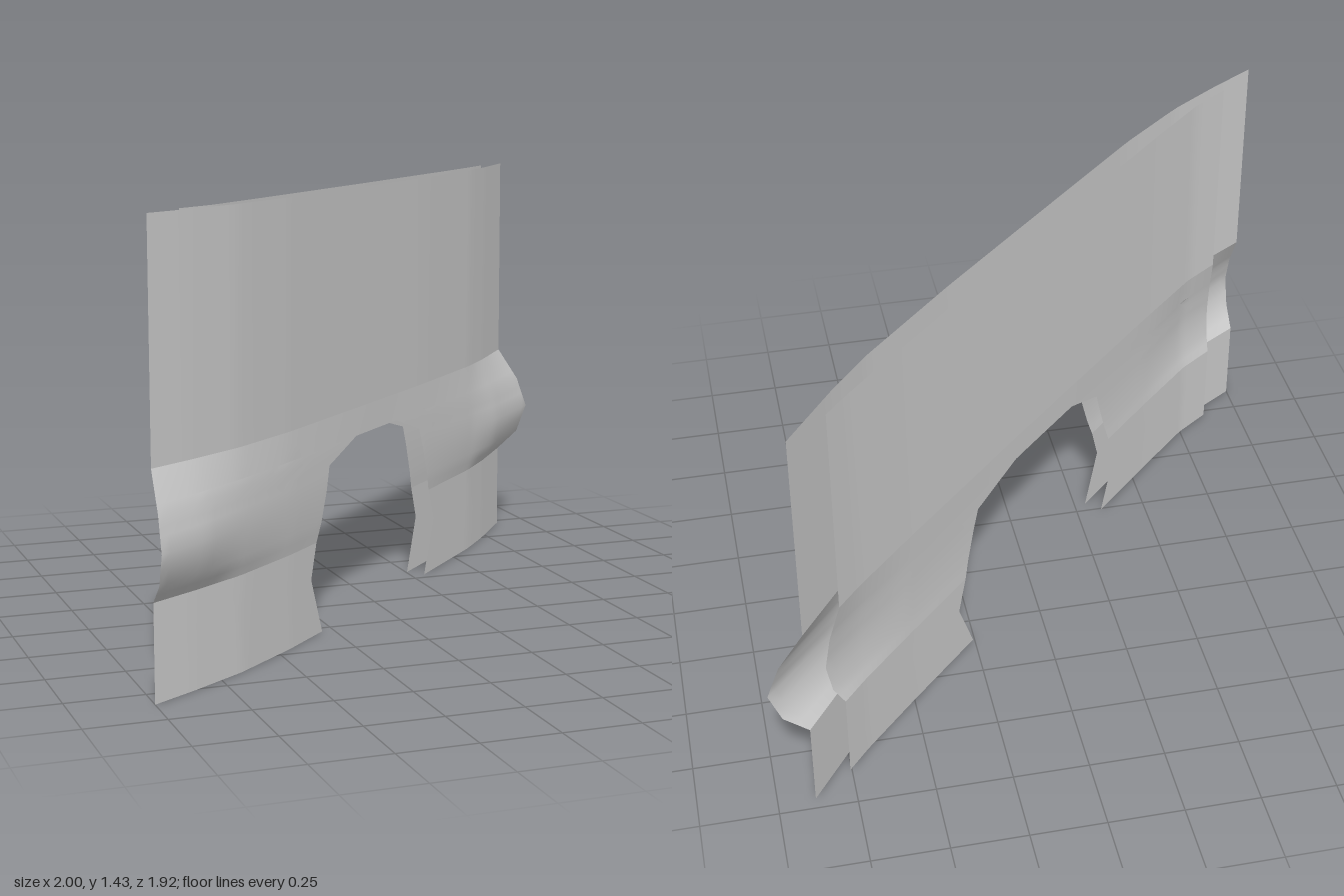
import * as THREE from 'three';

const HEIGHT = 1.43;

// Linear interpolation in a short table of rows [key, value, value...]
function sample(table, key, col) {
  let i = 1;
  while (i < table.length - 1 && key > table[i][0]) i++;
  const a = table[i - 1], b = table[i];
  const t = THREE.MathUtils.clamp((key - a[0]) / (b[0] - a[0]), 0, 1);
  return a[col] + (b[col] - a[col]) * t;
}

// Moulding section: height, share of the full bulge
const moulding = [[0.305, 0], [0.37, 0.67], [0.47, 1], [0.58, 0.67], [0.7, 0]];

// Plan of each skin: x, z, and the bulge of the moulding in x and z
const outerPlan = [
  [-1, 0.855, 0, 0.105], [-0.85, 0.76, 0.03, 0.06], [-0.67, 0.635, 0.02, 0.022],
  [-0.45, 0.445, 0.01, 0.01], [0, 0.005, 0.004, 0.004], [0.3, -0.29, 0.006, 0.006],
  [0.6, -0.6, 0.015, 0.012], [0.72, -0.745, 0.05, 0.025], [0.88, -0.96, 0.12, 0],
];
const innerPlan = [
  [-0.87, 0.725, 0, 0.04], [-0.75, 0.64, 0.015, 0.02], [-0.54, 0.44, 0.006, 0.006],
  [0, -0.09, 0.003, 0.003], [0.5, -0.59, 0.005, 0.005], [0.68, -0.775, 0.02, 0.012],
  [0.755, -0.86, 0.055, -0.01],
];

// Opening: height, left edge x, right edge x (closed above the last height)
const outerArch = [[0, -0.29, 0.3], [0.19, -0.345, 0.36], [0.545, -0.26, 0.255], [0.607, -0.11, 0.12]];
const innerArch = [[0, -0.34, 0.255], [0.19, -0.395, 0.31], [0.545, -0.31, 0.22], [0.607, -0.19, 0.06]];
const ARCH_TOP = 0.607;

// Height rows of the three bands; the repeated row closes the opening
const bands = {
  Base: [0, 0.1, 0.19, 0.305],
  Moulding: [0.305, 0.335, 0.37, 0.42, 0.47, 0.52, 0.545, 0.58, ARCH_TOP, ARCH_TOP + 1e-4, 0.65, 0.7],
  Wall: [0.7, HEIGHT],
};

// One side of one band, as a grid of rows between the skin's end and the opening
function bandGeometry(plan, arch, rows, side, facesBack) {
  const cols = 28;
  const end = side < 0 ? plan[0][0] : plan[plan.length - 1][0];
  const positions = [], index = [];
  rows.forEach((y, r) => {
    const edge = y > ARCH_TOP ? 0 : sample(arch, y, side < 0 ? 1 : 2);
    const from = side < 0 ? end : edge, to = side < 0 ? edge : end;
    const bulge = sample(moulding, y, 1);
    for (let c = 0; c <= cols; c++) {
      const x = from + (to - from) * c / cols;
      positions.push(
        x + bulge * sample(plan, x, 2),
        y,
        sample(plan, x, 1) + bulge * sample(plan, x, 3));
      if (r === 0 || c === 0) continue;
      const d = r * (cols + 1) + c, a = d - cols - 2, b = a + 1, e = d - 1;
      if (facesBack) index.push(a, d, b, a, e, d);
      else index.push(a, b, d, a, d, e);
    }
  });
  const geometry = new THREE.BufferGeometry();
  geometry.setAttribute('position', new THREE.Float32BufferAttribute(positions, 3));
  geometry.setIndex(index);
  geometry.computeVertexNormals();
  return geometry;
}

export function createModel() {
  const material = new THREE.MeshStandardMaterial({ color: 0xcccccc, side: THREE.DoubleSide });
  const model = new THREE.Group();
  model.name = 'archedWallPanel';

  // Two thin skins with an open gap between them
  const skins = [['outer', outerPlan, outerArch, false], ['inner', innerPlan, innerArch, true]];
  for (const [name, plan, arch, facesBack] of skins) {
    const skin = new THREE.Group();
    skin.name = name + 'Skin';
    for (const [band, rows] of Object.entries(bands)) {
      for (const side of [-1, 1]) {
        const mesh = new THREE.Mesh(bandGeometry(plan, arch, rows, side, facesBack), material);
        mesh.name = name + band + (side < 0 ? 'Right' : 'Left');
        skin.add(mesh);
      }
    }
    model.add(skin);
  }
  return model;
}
